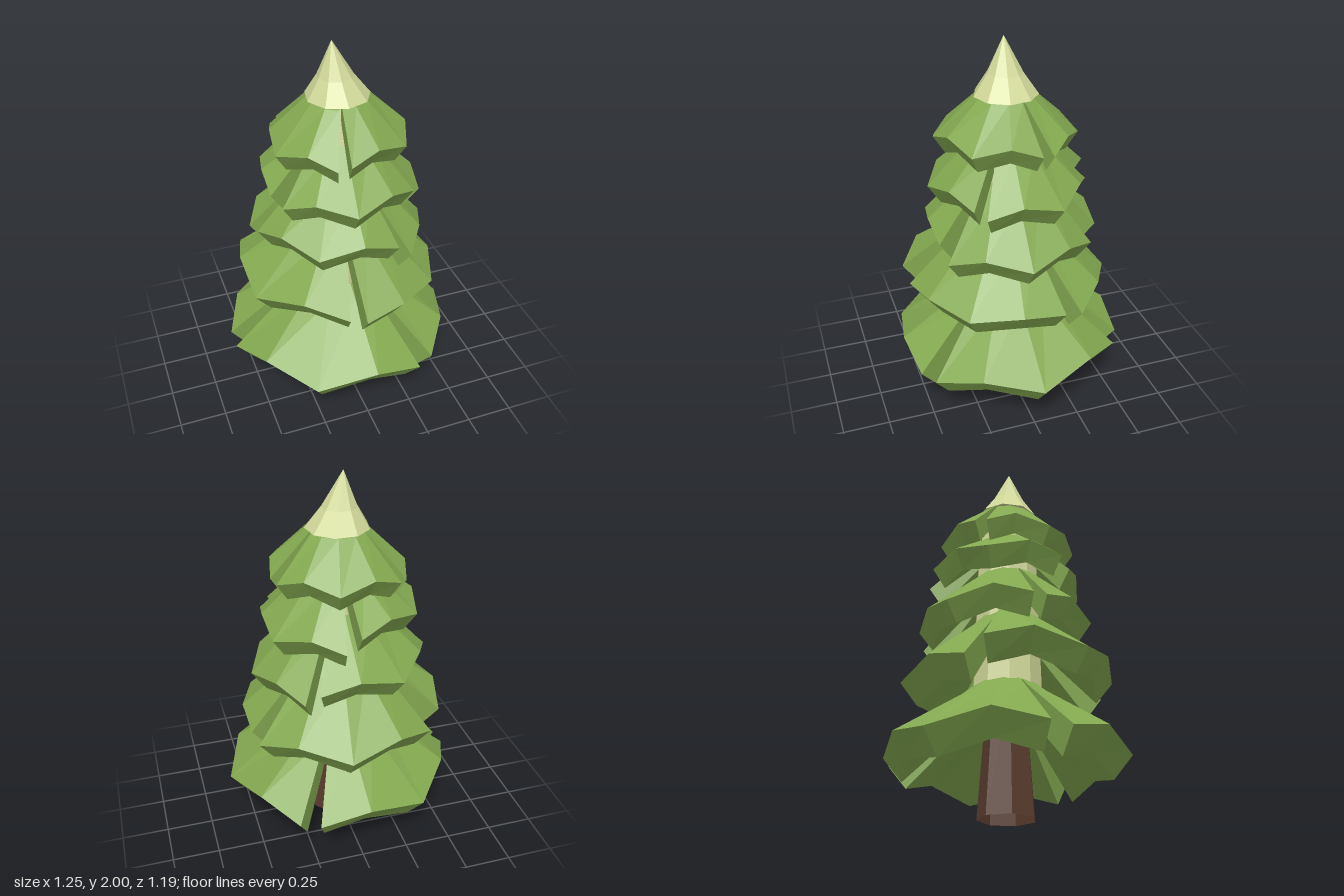
import * as THREE from 'three';

const green = new THREE.MeshStandardMaterial({ color: 0x83a850 });
green.name = 'needle green';
const cream = new THREE.MeshStandardMaterial({ color: 0xd2d99a });
cream.name = 'pale cream';
const brown = new THREE.MeshStandardMaterial({ color: 0x5a3b2d, side: THREE.DoubleSide });
brown.name = 'bark brown';

const rad = THREE.MathUtils.degToRad;

// Faceted mesh: unshared corners give flat faces
function facet(geometry, material, name) {
  const g = geometry.index ? geometry.toNonIndexed() : geometry;
  g.computeVertexNormals();
  const mesh = new THREE.Mesh(g, material);
  mesh.name = name;
  return mesh;
}

function lathe(profile, sides) {
  return new THREE.LatheGeometry(profile.map(([r, y]) => new THREE.Vector2(r, y)), sides);
}

// One bough: a drooping fan of five ribs, each a closed six-point section
const ribs = [-1, -0.55, 0, 0.55, 1];
function boughGeometry(tier, centre, [drop, reach, zigzag]) {
  const [ri, yi] = tier.inner, [rm, ym] = tier.mid, [rr, yr] = tier.rim;
  const scale = 0.4 + rr * 0.95;
  const pos = [], index = [], n = 6;
  ribs.forEach((t, j) => {
    const fold = j % 2 ? zigzag : -zigzag;
    const r = (rr - fold * 0.014) * reach;
    const y = yr + drop + fold * 0.033 * scale;
    const section = [
      [ri, yi, 60],
      [rm, ym + drop * 0.4, 57.5],
      [r, y, 55],
      [r * 0.84, y - 0.125 * scale, 55],
      [rm * 0.85, ym + drop * 0.4 - 0.13 * scale, 57.5],
      [ri * 0.8, yi - 0.12, 60],
    ];
    for (const [pr, py, half] of section) {
      const a = rad(centre + t * half);
      pos.push(pr * Math.cos(a), py, pr * Math.sin(a));
    }
  });
  const quad = (a, b, c, d) => index.push(a, b, c, a, c, d);
  for (let j = 0; j < ribs.length - 1; j++) {
    for (let k = 0; k < n; k++) {
      const k2 = (k + 1) % n, a = j * n, b = a + n;
      quad(a + k, b + k, b + k2, a + k2);
    }
  }
  // side walls
  const e = (ribs.length - 1) * n;
  quad(0, 1, 4, 5);
  quad(1, 2, 3, 4);
  quad(e + 5, e + 4, e + 1, e);
  quad(e + 4, e + 3, e + 2, e + 1);
  const g = new THREE.BufferGeometry();
  g.setAttribute('position', new THREE.Float32BufferAttribute(pos, 3));
  g.setIndex(index);
  return g;
}

// Tiers from bottom to top: [radius, height] points, angle of the first bough,
// and for each bough its [height shift, reach, zigzag]
const tiers = [
  { inner: [0.10, 0.74], mid: [0.25, 0.61], rim: [0.61, 0.335], turn: -1,
    boughs: [[0, 1, 1], [0, 1, 1], [0.01, 1, 1]] },
  { inner: [0.10, 1.12], mid: [0.23, 0.99], rim: [0.54, 0.72], turn: 38,
    boughs: [[-0.02, 0.98, 0.5], [0.05, 1.02, 1], [-0.03, 1, 1]] },
  { inner: [0.09, 1.38], mid: [0.22, 1.25], rim: [0.455, 1.02], turn: 1,
    boughs: [[-0.05, 1, 1], [0.03, 0.96, 1], [0.02, 1.01, 1]] },
  { inner: [0.08, 1.58], mid: [0.20, 1.47], rim: [0.41, 1.275], turn: 95,
    boughs: [[0, 0.97, 1], [0.05, 1, 1], [-0.03, 1, 1]] },
  { inner: [0.06, 1.76], mid: [0.158, 1.715], rim: [0.355, 1.535], turn: 44,
    boughs: [[0, 1, 1], [-0.02, 1, 1], [-0.01, 1, 1]] },
];

export function createModel() {
  const model = new THREE.Group();
  model.name = 'pineTree';

  // Trunk, open underneath, and the pale core that shows between boughs
  const trunk = facet(new THREE.CylinderGeometry(0.105, 0.15, 0.63, 7, 1, true), brown, 'trunk');
  trunk.position.y = 0.315;
  const core = lathe([[0, 0.63], [0.185, 0.63], [0.17, 1.2], [0.165, 1.47], [0.12, 1.71], [0, 1.71]], 10);
  model.add(trunk, facet(core, cream, 'core'));

  // Three boughs per tier
  tiers.forEach((tier, i) => {
    const group = new THREE.Group();
    group.name = `tier${i + 1}`;
    tier.boughs.forEach((bough, k) => {
      group.add(facet(boughGeometry(tier, tier.turn + k * 120, bough), green, 'bough'));
    });
    model.add(group);
  });

  // Pointed tip, leaning slightly to one side
  const tip = lathe([[0, 1.70], [0.165, 1.715], [0.092, 1.82], [0, 2]], 9);
  const p = tip.attributes.position;
  for (let i = 0; i < p.count; i++) {
    p.setX(i, p.getX(i) - 0.03 * Math.max(0, (p.getY(i) - 1.715) / 0.285));
  }
  model.add(facet(tip, cream, 'tip'));

  return model;
}
